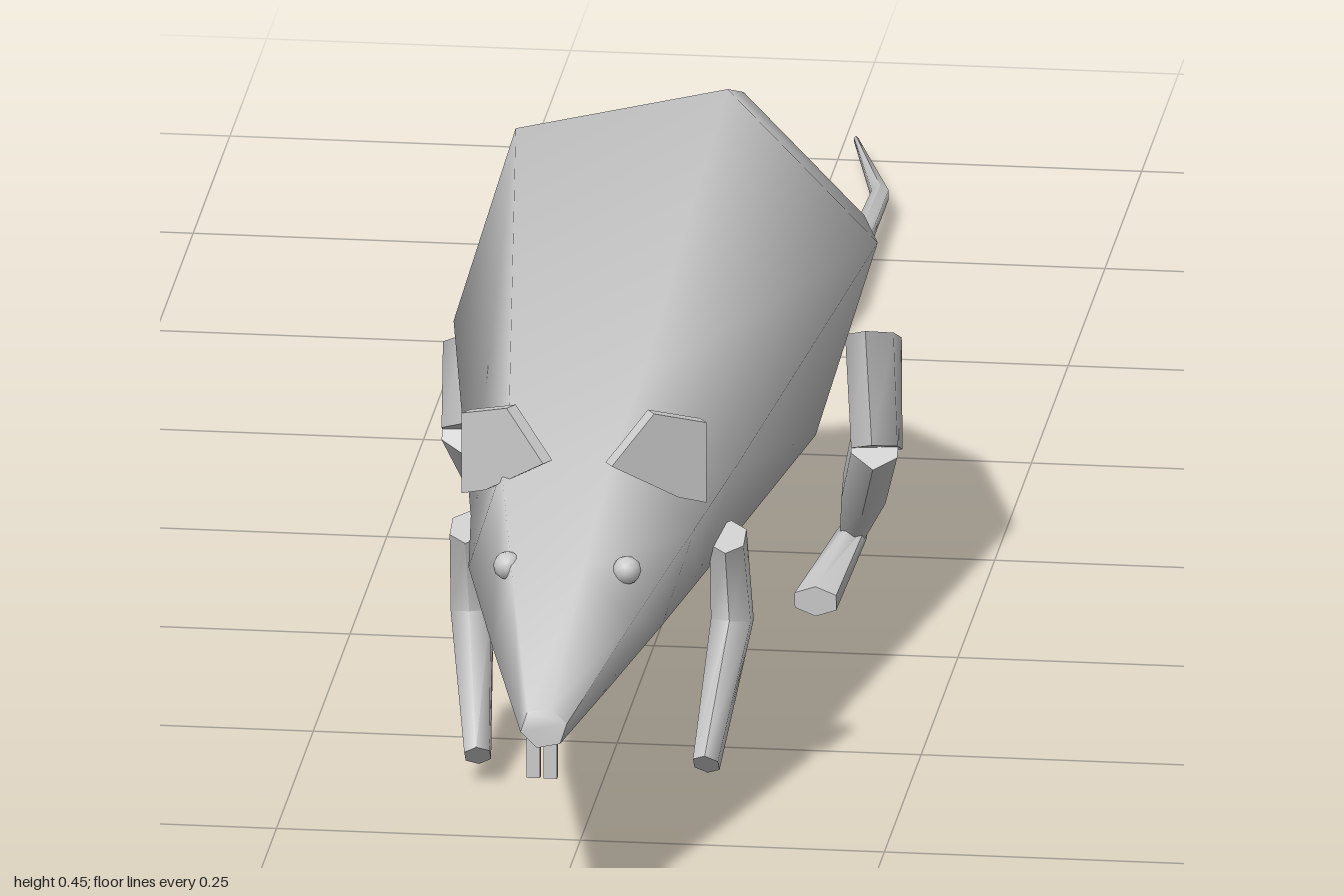
import * as THREE from 'three';
import { toCreasedNormals } from 'three/addons/utils/BufferGeometryUtils.js';

const SIDES = 6;
const material = new THREE.MeshStandardMaterial({ color: 0xcccccc, side: THREE.DoubleSide });

// Skin a row of six-point rings and close both ends
function loft(rings, crease = 1.15) {
  const pos = rings.flat().flatMap((p) => p.toArray());
  const index = [];
  for (let i = 0; i < rings.length - 1; i++) {
    for (let j = 0; j < SIDES; j++) {
      const k = (j + 1) % SIDES;
      const a = i * SIDES + j, b = i * SIDES + k;
      index.push(a, b, b + SIDES, a, b + SIDES, a + SIDES);
    }
  }
  const last = (rings.length - 1) * SIDES;
  for (let j = 1; j < SIDES - 1; j++) {
    index.push(0, j + 1, j, last, last + j, last + j + 1);
  }
  const geo = new THREE.BufferGeometry();
  geo.setAttribute('position', new THREE.Float32BufferAttribute(pos, 3));
  geo.setIndex(index);
  return toCreasedNormals(geo, crease);
}

// Limb along points [x, y, z, halfWidth, halfDepth], rings square to the path
function limb(points) {
  const path = points.map((p) => new THREE.Vector3(p[0], p[1], p[2]));
  return loft(path.map((c, i) => {
    const dir = new THREE.Vector3();
    if (i > 0) dir.add(c.clone().sub(path[i - 1]).normalize());
    if (i < path.length - 1) dir.add(path[i + 1].clone().sub(c).normalize());
    dir.normalize();
    const u = new THREE.Vector3(1, 0, 0).addScaledVector(dir, -dir.x).normalize();
    const v = dir.clone().cross(u);
    return Array.from({ length: SIDES }, (_, j) => {
      const a = Math.PI / 6 + (j * Math.PI * 2) / SIDES;
      return c.clone().addScaledVector(u, Math.cos(a) * points[i][3])
        .addScaledVector(v, Math.sin(a) * points[i][4]);
    });
  }));
}

// Body cross-section: a hexagon turned slightly about the long axis
function bodyRing([z, bottom, top, half]) {
  const cy = (top + bottom) / 2, ry = (top - bottom) / 2;
  return Array.from({ length: SIDES }, (_, j) => {
    const a = 0.235 + (j * Math.PI * 2) / SIDES;
    return new THREE.Vector3(Math.cos(a) * half / 0.97, cy + Math.sin(a) * ry / 0.97, z);
  });
}

export function createModel() {
  const root = new THREE.Group();
  const add = (name, geo, parent = root) => {
    const mesh = new THREE.Mesh(geo, material);
    mesh.name = name;
    parent.add(mesh);
    return mesh;
  };

  // Body and head: z, bottom, top, half width
  add('body', loft([
    [-0.11, 0.14, 0.235, 0.05],
    [-0.02, 0.117, 0.39, 0.14],
    [0.17, 0.117, 0.457, 0.174],
    [0.6, 0.148, 0.35, 0.108],
    [0.74, 0.163, 0.335, 0.093],
    [0.87, 0.163, 0.275, 0.058],
    [1.0, 0.163, 0.198, 0.019],
  ].map(bodyRing)));

  // Tail
  add('tail', limb([
    [0, 0.165, -0.08, 0.02, 0.018],
    [0.012, 0.04, -0.34, 0.015, 0.016],
    [0.052, 0.029, -0.6, 0.011, 0.011],
    [0.053, 0.022, -0.85, 0.008, 0.008],
    [0.015, 0.018, -1.0, 0.002, 0.003],
  ]));

  // Legs: x positions differ a little between the two sides
  const legs = [
    { side: 'left', s: 1, shoulder: 0.098, paw: 0.088, hip: 0.163, hipY: 0.225, knee: 0.17, ankle: 0.135, toe: 0.122 },
    { side: 'right', s: -1, shoulder: 0.116, paw: 0.1, hip: 0.168, hipY: 0.2, knee: 0.167, ankle: 0.146, toe: 0.134 },
  ];
  for (const { side, s, shoulder, paw, hip, hipY, knee, ankle, toe } of legs) {
    add(side + 'FrontLeg', limb([
      [s * shoulder, 0.2, 0.555, 0.016, 0.022],
      [s * shoulder, 0.12, 0.527, 0.019, 0.021],
      [s * paw, 0.026, 0.622, 0.012, 0.015],
    ]));
    add(side + 'Thigh', limb([
      [s * hip, hipY, 0.105, 0.023, 0.06],
      [s * knee, 0.14, 0.14, 0.022, 0.037],
    ]));
    add(side + 'Shank', limb([
      [s * knee, 0.15, 0.15, 0.022, 0.026],
      [s * (knee + ankle) / 2, 0.085, 0.078, 0.021, 0.024],
      [s * ankle, 0.026, 0.012, 0.012, 0.013],
    ]));
    add(side + 'HindFoot', limb([
      [s * ankle, 0.022, 0.002, 0.012, 0.012],
      [s * toe, 0.013, 0.16, 0.02, 0.013],
    ]));
  }

  // Ears, eyes and teeth, mirrored
  const earShape = new THREE.Shape([
    [0, 0], [0.038, 0.04], [0.085, 0.026], [0.085, -0.043], [0.06, -0.035],
  ].map(([x, y]) => new THREE.Vector2(x, y)));
  for (const s of [1, -1]) {
    const half = new THREE.Group();
    half.name = s > 0 ? 'leftFace' : 'rightFace';
    half.scale.x = s;
    root.add(half);

    const ear = add('ear', new THREE.ExtrudeGeometry(earShape, { depth: 0.012, bevelEnabled: false }), half);
    ear.position.set(0.022, 0.33, 0.76);
    ear.rotation.y = 0.55;

    const eye = add('eye', new THREE.IcosahedronGeometry(0.012, 1), half);
    eye.position.set(0.049, 0.265, 0.84);

    const tooth = add('tooth', new THREE.BoxGeometry(0.011, 0.04, 0.008), half);
    tooth.position.set(0.007 - s * 0.004, 0.15, 0.975);
  }
  return root;
}
